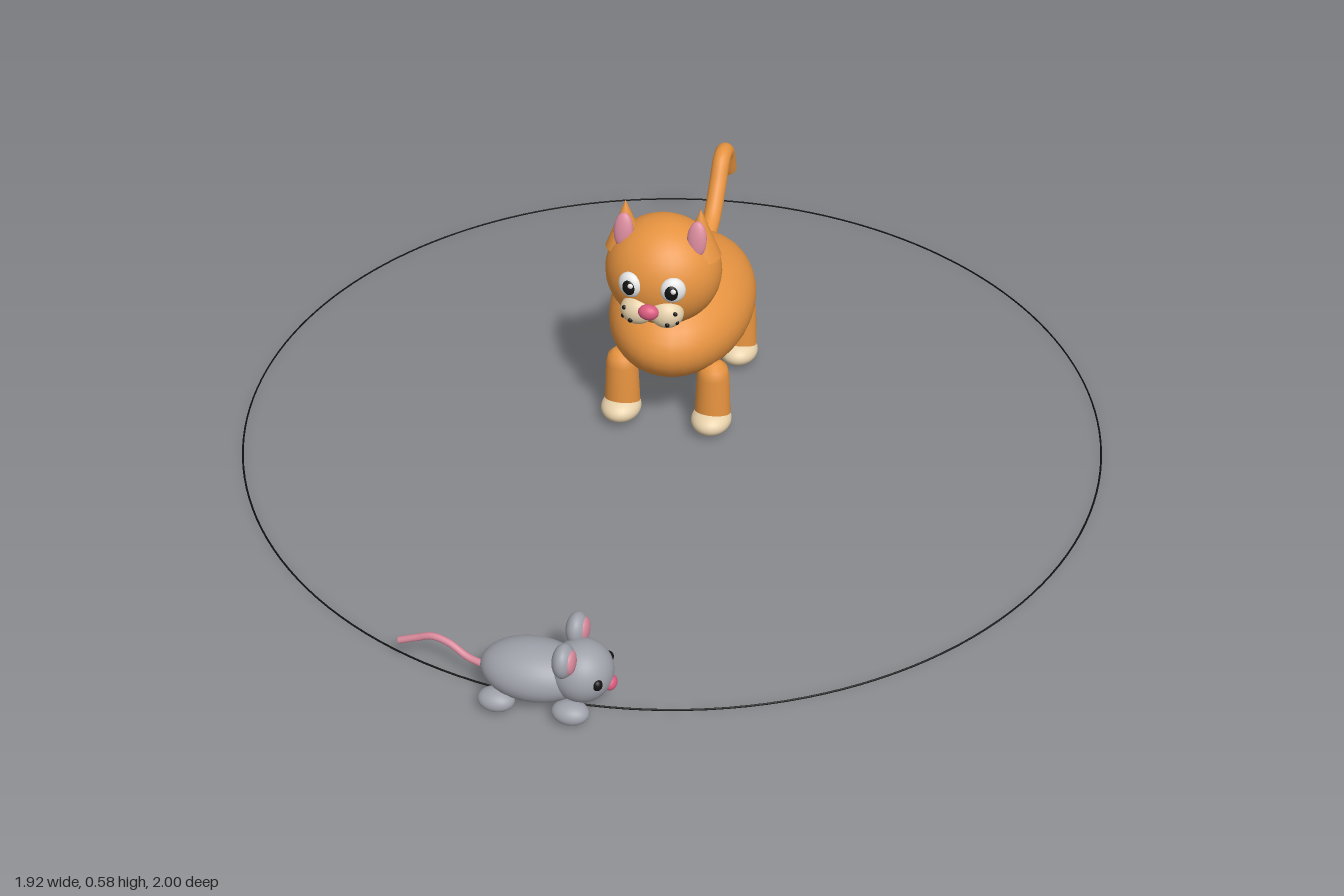
import * as THREE from 'three';

const mat = (name, color) => {
  const m = new THREE.MeshStandardMaterial({ color });
  m.name = name;
  return m;
};

export function createModel() {
  const orange = mat('orangeFur', 0xe69340);
  const cream = mat('creamFur', 0xe8d2ac);
  const pink = mat('earPink', 0xd88a9c);
  const rose = mat('nosePink', 0xdb5c80);
  const white = mat('eyeWhite', 0xffffff);
  const black = mat('black', 0x111111);
  const grey = mat('greyFur', 0x9fa1aa);

  const ball = new THREE.SphereGeometry(1, 32, 20);

  function add(parent, name, geometry, material, pos = [0, 0, 0]) {
    const mesh = new THREE.Mesh(geometry, material);
    mesh.name = name;
    mesh.position.set(...pos);
    parent.add(mesh);
    return mesh;
  }
  function blob(parent, name, material, pos, radii) {
    const mesh = add(parent, name, ball, material, pos);
    mesh.scale.set(...radii);
    return mesh;
  }
  function tube(parent, name, material, points, radius) {
    const curve = new THREE.CatmullRomCurve3(points.map((p) => new THREE.Vector3(...p)));
    add(parent, name, new THREE.TubeGeometry(curve, 40, radius, 14), material);
    // flat cap on the free end
    const cap = add(parent, name + 'Tip', new THREE.CircleGeometry(radius, 14), material, points.at(-1));
    cap.quaternion.setFromUnitVectors(new THREE.Vector3(0, 0, 1), curve.getTangent(1));
  }

  const model = new THREE.Group();
  model.name = 'catAndMouse';

  // Thin circular track on the ground
  const track = add(model, 'track', new THREE.TorusGeometry(0.96, 0.002, 6, 160), black, [0, 0.002, -0.04]);
  track.rotation.x = Math.PI / 2;

  // ---- Cat, facing +z ----
  const cat = new THREE.Group();
  cat.name = 'cat';
  model.add(cat);
  blob(cat, 'catBody', orange, [0, 0.23, -0.145], [0.16, 0.123, 0.247]);
  blob(cat, 'catHead', orange, [0, 0.425, 0.034], [0.125, 0.12, 0.118]);
  blob(cat, 'catNose', rose, [0, 0.395, 0.165], [0.022, 0.017, 0.016]);

  const earCone = new THREE.ConeGeometry(0.044, 0.11, 28);
  // legs taper upward and end in a rounded shoulder
  const legShape = new THREE.LatheGeometry(
    [[0.041, 0.02], [0.036, 0.145], [0.031, 0.166], [0.018, 0.178], [0, 0.181]].map((p) => new THREE.Vector2(...p)), 28);
  for (const s of [1, -1]) {
    add(cat, 'catEar', earCone, orange, [s * 0.081, 0.528, 0.038]);
    const inner = blob(cat, 'catInnerEar', pink, [s * 0.079, 0.524, 0.065], [0.021, 0.04, 0.012]);
    inner.rotation.x = -0.22;

    blob(cat, 'catEye', white, [s * 0.046, 0.44, 0.138], [0.027, 0.029, 0.017]).rotation.y = s * 0.3;
    blob(cat, 'catPupil', black, [s * 0.046, 0.44, 0.15], [0.015, 0.018, 0.008]).rotation.y = s * 0.25;
    blob(cat, 'catEyeGlint', white, [s * 0.046 + 0.005, 0.447, 0.156], [0.006, 0.006, 0.004]);

    blob(cat, 'catMuzzle', cream, [s * 0.031, 0.38, 0.134], [0.037, 0.033, 0.032]);
    // whisker dots
    for (const [x, y, z] of [[0.055, 0.392, 0.155], [0.058, 0.37, 0.152], [0.04, 0.368, 0.164]]) {
      blob(cat, 'catWhiskerDot', black, [s * x, y, z], [0.005, 0.005, 0.004]);
    }

    for (const z of [0.002, -0.282]) {
      add(cat, 'catLeg', legShape, orange, [s * 0.104, 0, z]);
      blob(cat, 'catPaw', cream, [s * 0.104, 0.034, z + 0.012], [0.045, 0.03, 0.054]);
    }
  }
  tube(cat, 'catTail', orange, [
    [0, 0.25, -0.35], [0, 0.285, -0.43], [0, 0.34, -0.485],
    [0, 0.392, -0.53], [0, 0.39, -0.567], [0, 0.326, -0.602],
  ], 0.021);

  // ---- Mouse, facing +x ----
  const mouse = new THREE.Group();
  mouse.name = 'mouse';
  mouse.position.z = 0.924;
  model.add(mouse);
  blob(mouse, 'mouseBody', grey, [-0.026, 0.078, 0], [0.103, 0.056, 0.067]);
  blob(mouse, 'mouseHead', grey, [0.068, 0.097, 0], [0.06, 0.06, 0.06]);
  blob(mouse, 'mouseNose', rose, [0.122, 0.078, 0], [0.013, 0.015, 0.016]);
  for (const s of [1, -1]) {
    blob(mouse, 'mouseEar', grey, [0.047, 0.154, s * 0.045], [0.021, 0.034, 0.031]);
    blob(mouse, 'mouseInnerEar', pink, [0.06, 0.154, s * 0.046], [0.011, 0.025, 0.022]);
    blob(mouse, 'mouseEye', black, [0.108, 0.103, s * 0.039], [0.01, 0.012, 0.01]);
    for (const x of [-0.088, 0.056]) {
      blob(mouse, 'mouseFoot', grey, [x, 0.027, s * 0.043], [0.036, 0.022, 0.027]);
    }
  }
  tube(mouse, 'mouseTail', pink, [
    [-0.11, 0.062, 0], [-0.16, 0.066, -0.012], [-0.2, 0.084, -0.022],
    [-0.235, 0.088, -0.028], [-0.27, 0.074, -0.031], [-0.305, 0.06, -0.031],
  ], 0.007);

  return model;
}
